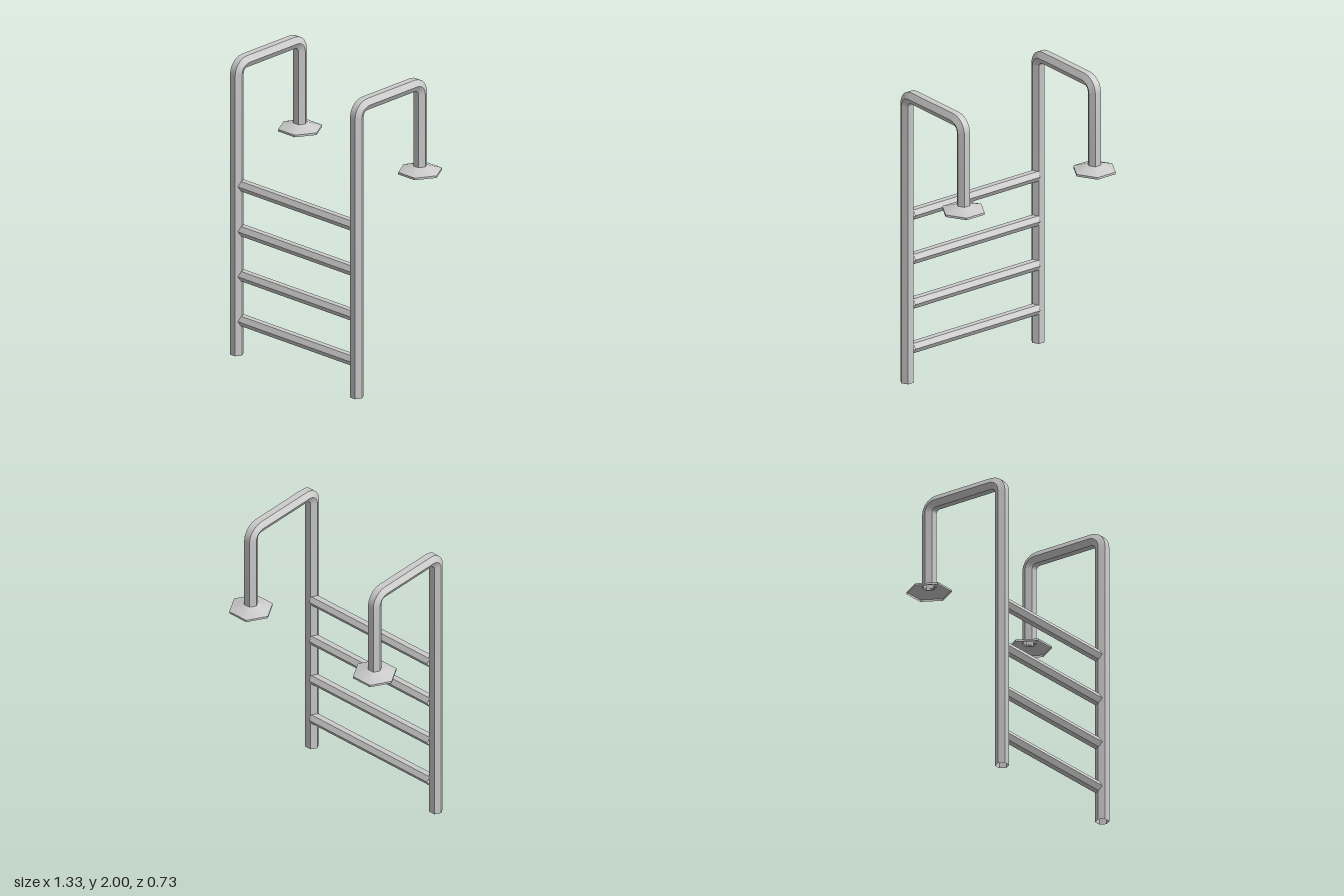
import * as THREE from 'three';
import { toCreasedNormals } from 'three/addons/utils/BufferGeometryUtils.js';

const RAIL_X = 0.523, FRONT_Z = 0.328, BACK_Z = -0.244;
const RAIL_R = 0.045, TOP_Y = 1.961, BEND = 0.07, BEND_STEPS = 5;
const PLATE_TOP = 1.4;
const CREASE = 0.6;

const material = new THREE.MeshStandardMaterial({ color: 0xcccccc, side: THREE.DoubleSide });

function addMesh(group, name, geometry, x, y, z) {
  const mesh = new THREE.Mesh(toCreasedNormals(geometry, CREASE), material);
  mesh.name = name;
  mesh.position.set(x, y, z);
  group.add(mesh);
}

// Stations along the bent rail: centre y, centre z, and turn angle
function railStations() {
  const stations = [[0, FRONT_Z, 0]];
  const bend = (centreZ, from) => {
    for (let i = 0; i <= BEND_STEPS; i++) {
      const t = from + (i / BEND_STEPS) * Math.PI / 2;
      stations.push([TOP_Y - BEND + BEND * Math.sin(t), centreZ + BEND * Math.cos(t), t]);
    }
  };
  bend(FRONT_Z - BEND, 0);
  bend(BACK_Z + BEND, Math.PI / 2);
  stations.push([PLATE_TOP - 0.01, BACK_Z, Math.PI]);
  return stations;
}

// Open hexagonal tube swept through the stations
function railGeometry() {
  const stations = railStations(), positions = [], indices = [];
  stations.forEach(([y, z, t], i) => {
    for (let j = 0; j < 6; j++) {
      const a = j * Math.PI / 3, out = RAIL_R * Math.sin(a);
      positions.push(RAIL_R * Math.cos(a), y + out * Math.sin(t), z + out * Math.cos(t));
      if (i < stations.length - 1) {
        const p = i * 6 + j, q = i * 6 + (j + 1) % 6;
        indices.push(p, p + 6, q, q, p + 6, q + 6);
      }
    }
  });
  const geometry = new THREE.BufferGeometry();
  geometry.setAttribute('position', new THREE.Float32BufferAttribute(positions, 3));
  geometry.setIndex(indices);
  geometry.computeVertexNormals();
  return geometry;
}

// Hollow hexagonal flange: short rim, then a shallow cone up to the post
function plateGeometry() {
  const profile = [[0.143, 1.353], [0.143, 1.367], [0.043, PLATE_TOP]]
    .map(([r, y]) => new THREE.Vector2(r, y));
  return new THREE.LatheGeometry(profile, 6, Math.PI / 2);
}

export function createModel() {
  const model = new THREE.Group();
  model.name = 'poolLadder';

  // Handrails and their mounting plates
  for (const [side, sign] of [['left', 1], ['right', -1]]) {
    addMesh(model, side + 'Rail', railGeometry(), sign * RAIL_X, 0, 0);
    addMesh(model, side + 'MountingPlate', plateGeometry(), sign * RAIL_X, 0, BACK_Z);
  }

  // Hexagonal rungs between the rails
  for (let i = 0; i < 4; i++) {
    const rung = new THREE.CylinderGeometry(0.0385, 0.0385, 1.0, 6, 1, true).rotateZ(Math.PI / 2);
    addMesh(model, 'rung' + (i + 1), rung, 0, 0.232 + i * 0.3035, 0.313);
  }
  return model;
}
